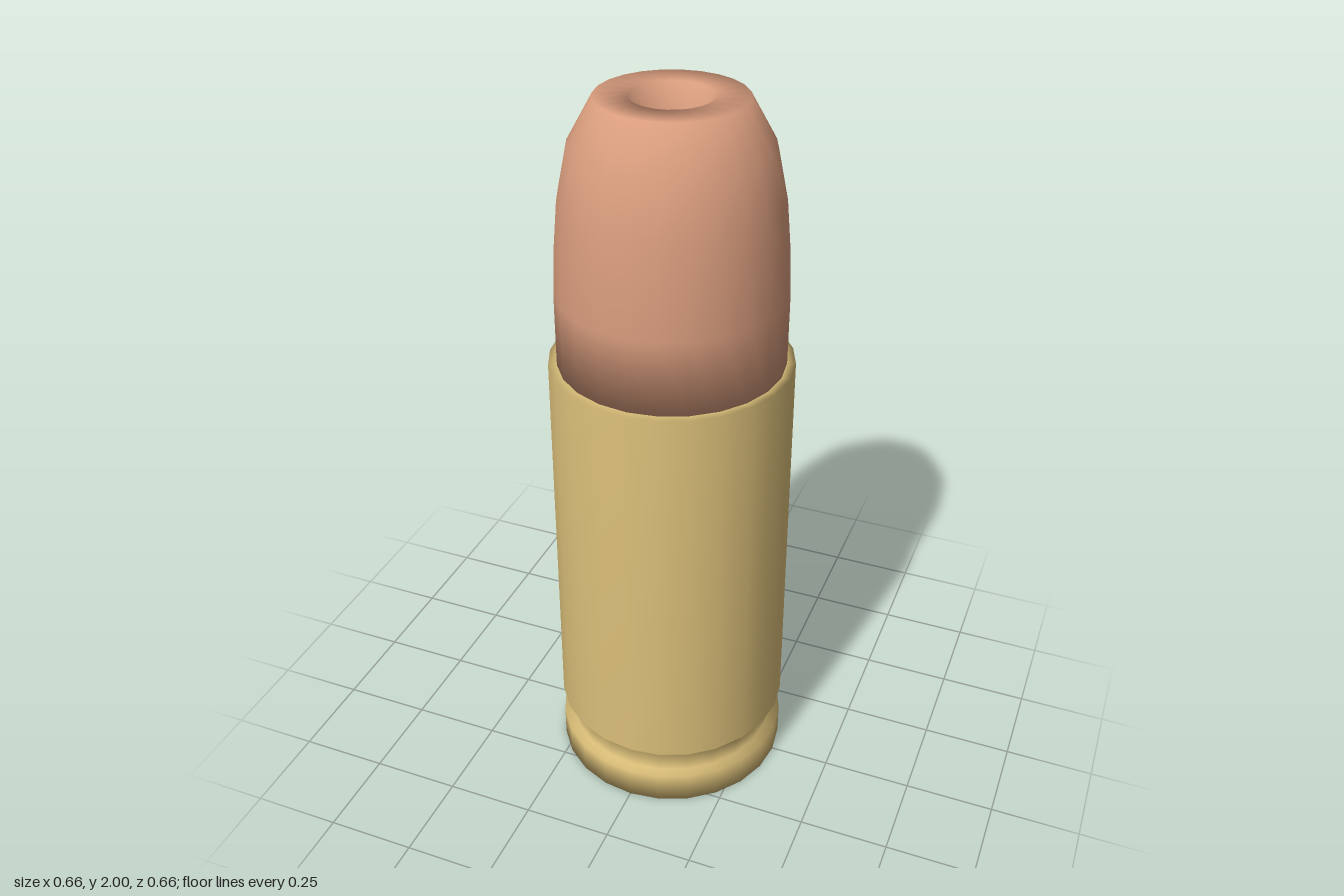
import * as THREE from 'three';

const SIDES = 24;

// Turns a profile of [radius, height] pairs, listed from the base upward, into a smooth mesh
function turned(name, profile, material) {
  const points = profile.map(([r, y]) => new THREE.Vector2(r, y));
  const mesh = new THREE.Mesh(new THREE.LatheGeometry(points, SIDES), material);
  mesh.name = name;
  return mesh;
}

export function createModel() {
  const brass = new THREE.MeshStandardMaterial({ name: 'brass', color: 0xdcc07a });
  const copper = new THREE.MeshStandardMaterial({ name: 'copper', color: 0xd89c7d });

  const model = new THREE.Group();
  model.name = 'cartridge';

  // Case: flat base, rim, extractor groove, bevel, slightly tapered wall and mouth
  model.add(turned('case', [
    [0, 0], [0.33, 0], [0.33, 0.09],
    [0.3, 0.09], [0.3, 0.145], [0.33, 0.18],
    [0.325, 1.297], [0.298, 1.297],
  ], brass));

  // Bullet: rounded ogive, flat nose and a hollow tip
  model.add(turned('bullet', [
    [0, 1.29], [0.302, 1.29], [0.302, 1.5], [0.296, 1.62],
    [0.284, 1.75], [0.257, 1.88], [0.19, 2], [0.105, 2],
    [0.098, 1.9], [0.065, 1.83], [0, 1.8],
  ], copper));

  return model;
}
